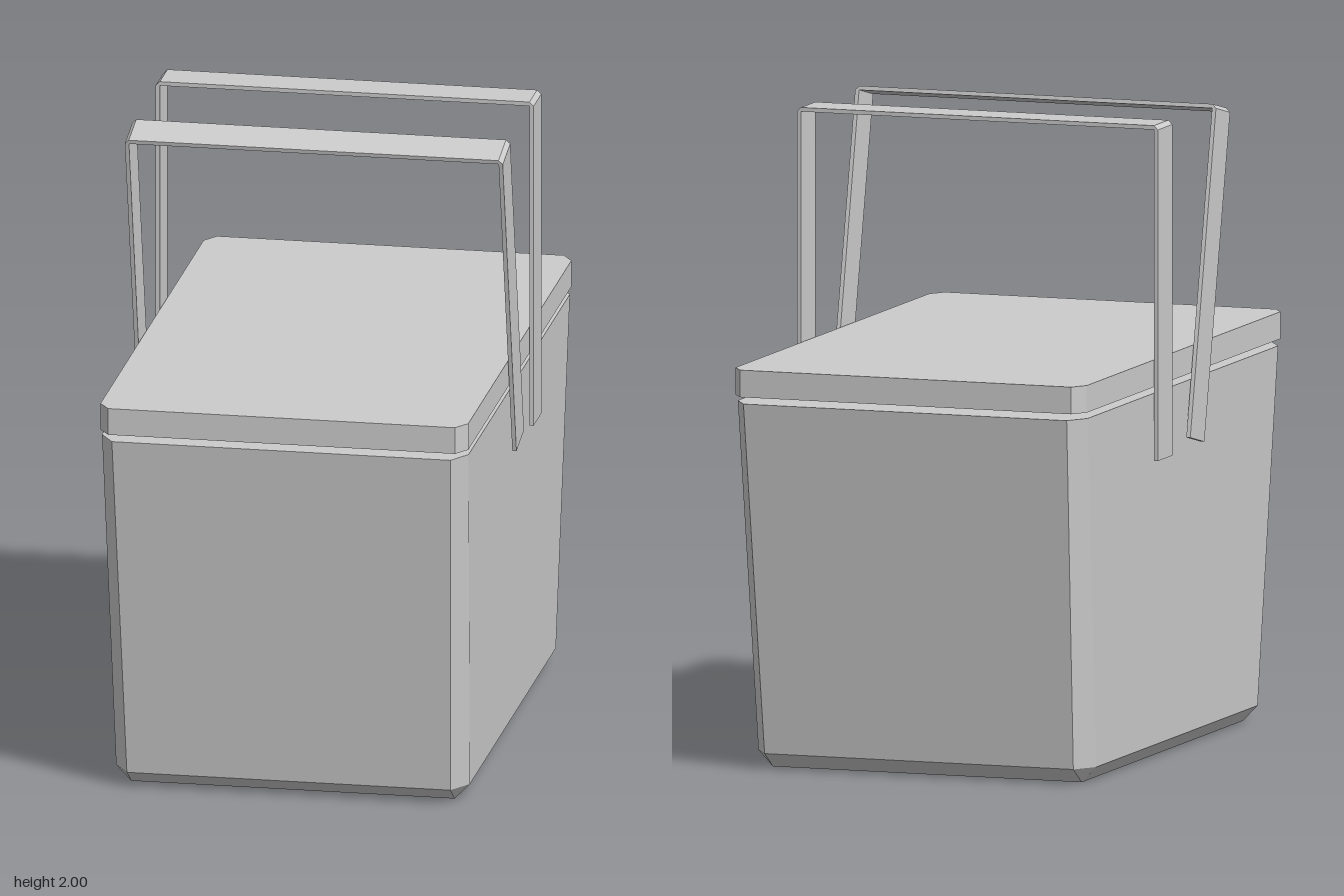
import * as THREE from 'three';

const material = new THREE.MeshStandardMaterial({ color: 0xcccccc, flatShading: true });

// Rectangle with cut corners at height y; half sizes hx, hz and corner cuts cx, cz
function ring(y, hx, hz, cx, cz) {
  const ix = hx - cx, iz = hz - cz;
  return [[hx, iz], [hx, -iz], [ix, -hz], [-ix, -hz], [-hx, -iz], [-hx, iz], [-ix, hz], [ix, hz]]
    .map(([x, z]) => new THREE.Vector3(x, y, z));
}

// Closed solid through rings listed from bottom to top
function loft(rings) {
  const pos = [];
  const tri = (a, b, c) => {
    const area = b.clone().sub(a).cross(c.clone().sub(a)).length();
    if (area > 1e-8) for (const p of [a, b, c]) pos.push(p.x, p.y, p.z);
  };
  for (let r = 0; r < rings.length - 1; r++) {
    const lo = rings[r], hi = rings[r + 1];
    for (let i = 0; i < 8; i++) {
      const j = (i + 1) % 8;
      tri(lo[i], lo[j], hi[j]);
      tri(lo[i], hi[j], hi[i]);
    }
  }
  const bottom = rings[0], top = rings[rings.length - 1];
  for (let i = 1; i < 7; i++) {
    tri(bottom[0], bottom[i + 1], bottom[i]);
    tri(top[0], top[i], top[i + 1]);
  }
  const geo = new THREE.BufferGeometry();
  geo.setAttribute('position', new THREE.Float32BufferAttribute(pos, 3));
  geo.computeVertexNormals();
  return geo;
}

// Flat strap bent into an upside-down U, origin at the foot of its legs
function handleGeometry(height) {
  const out = 0.596, t = 0.013, width = 0.13, inner = out - t;
  const shape = new THREE.Shape([
    [out, 0], [out, height - t], [inner, height], [-inner, height], [-out, height - t], [-out, 0],
    [-inner, 0], [-inner, height - t], [inner, height - t], [inner, 0],
  ].map(([x, y]) => new THREE.Vector2(x, y)));
  return new THREE.ExtrudeGeometry(shape, { depth: width, bevelEnabled: false })
    .translate(0, 0, -width / 2);
}

export function createModel() {
  const group = new THREE.Group();
  const add = (name, geometry) => {
    const mesh = new THREE.Mesh(geometry, material);
    mesh.name = name;
    group.add(mesh);
    return mesh;
  };

  // Tapered box with bevelled corners and base
  add('basketBody', loft([
    ring(0, 0.51, 0.725, 0, 0),
    ring(0.05, 0.558, 0.8, 0.048, 0.075),
    ring(1.16, 0.578, 0.925, 0.044, 0.07),
  ]));

  // Lid floating just above the rim
  add('lid', loft([
    ring(1.18, 0.58, 0.92, 0.033, 0.05),
    ring(1.265, 0.58, 0.92, 0.033, 0.05),
  ]));

  // Upright back handle and front handle leaning forward
  add('backHandle', handleGeometry(1.05)).position.set(0, 0.95, -0.21);
  const front = add('frontHandle', handleGeometry(1.04));
  front.position.set(0, 0.97, 0.08);
  front.rotation.x = THREE.MathUtils.degToRad(13);

  return group;
}
